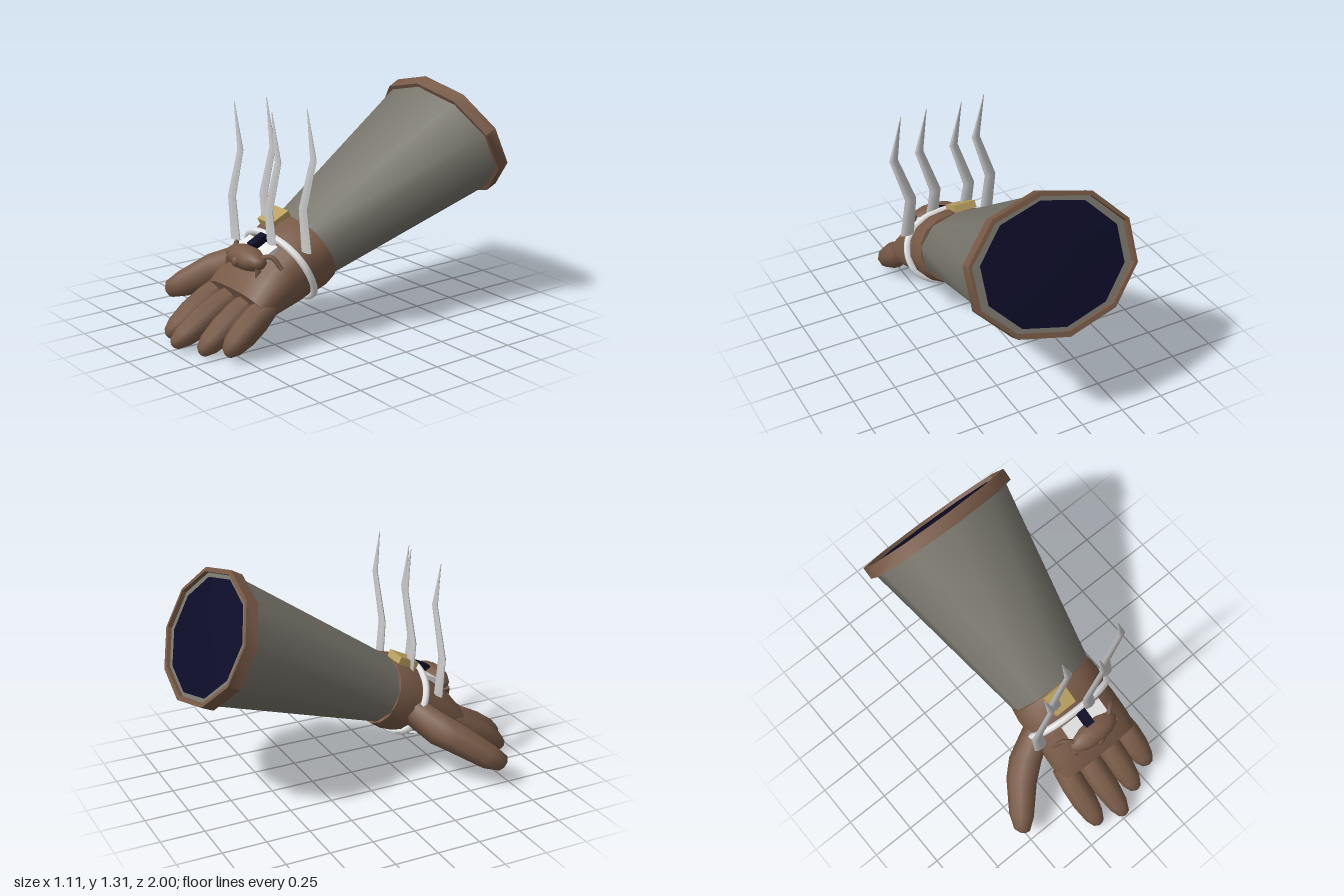
import * as THREE from 'three';
import { toCreasedNormals } from 'three/addons/utils/BufferGeometryUtils.js';

const mat = (name, color, side = THREE.FrontSide) => {
  const m = new THREE.MeshStandardMaterial({ color, side });
  m.name = name;
  return m;
};

// Skin through cross-sections [x, y, z, rx, ry] along z; p < 1 squares the section off.
function loft(rows, { n = 10, p = 1, caps = true, j0 = 0, j1 = n, crease = 0.75 } = {}) {
  const pos = [], idx = [], w = j1 - j0 + 1;
  const pw = v => (Math.abs(v) < 1e-9 ? 0 : Math.sign(v) * Math.abs(v) ** p);
  for (const [x, y, z, rx, ry] of rows)
    for (let j = j0; j <= j1; j++) {
      const a = Math.PI / 2 + (j / n) * Math.PI * 2;
      pos.push(x + rx * pw(Math.cos(a)), y + ry * pw(Math.sin(a)), z);
    }
  for (let i = 0; i < rows.length - 1; i++)
    for (let j = 0; j < w - 1; j++) {
      const a = i * w + j, d = a + w;
      idx.push(a, a + 1, d + 1, a, d + 1, d);
    }
  if (caps) {
    const last = rows.length - 1, k = pos.length / 3;
    pos.push(...rows[0].slice(0, 3), ...rows[last].slice(0, 3));
    for (let j = 0; j < w - 1; j++) {
      idx.push(k, j + 1, j);
      idx.push(k + 1, last * w + j, last * w + j + 1);
    }
  }
  const g = new THREE.BufferGeometry();
  g.setAttribute('position', new THREE.Float32BufferAttribute(pos, 3));
  g.setIndex(idx);
  return toCreasedNormals(g, crease);
}

export function createModel() {
  const leather = mat('brown leather', 0x775946);
  const cloth = mat('grey cloth', 0x77756b);
  const lining = mat('navy', 0x0d0c28, THREE.DoubleSide);
  const gold = mat('gold', 0xbaa05f);
  const white = mat('white', 0xe6e6e6, THREE.DoubleSide);
  const steel = mat('silver', 0xcccccc);

  const model = new THREE.Group();
  const add = (parent, name, geo, m, x = 0, y = 0, z = 0) => {
    const mesh = new THREE.Mesh(geo, m);
    mesh.name = name;
    mesh.position.set(x, y, z);
    parent.add(mesh);
    return mesh;
  };

  // Forearm frame: local +z runs from the wrist to the fingertips
  const arm = new THREE.Group();
  arm.name = 'glove';
  arm.position.set(0.095, 0.465, 0.205);
  arm.rotation.x = 0.456;
  model.add(arm);

  // Flared sleeve with a flat end, navy lining and rim band
  add(arm, 'sleeve', loft([
    [0, 0, -1.13, 0.39, 0.31], [0, 0, -1.13, 0.46, 0.362], [0, 0, 0.03, 0.258, 0.19],
  ], { caps: false, crease: 0.9 }), cloth);
  add(arm, 'sleeveLining', loft([
    [0, 0, -1.145, 0, 0], [0, 0, -1.143, 0.2, 0.165], [0, 0, -1.135, 0.415, 0.33],
  ], { caps: false }), lining);
  add(arm, 'sleeveRim', loft([
    [0, 0, -1.08, 0.468, 0.352], [0, 0, -1.153, 0.468, 0.352], [0, 0, -1.153, 0.486, 0.38],
    [0, 0, -1.08, 0.486, 0.377], [0, 0, -1.08, 0.468, 0.352],
  ], { caps: false }), leather);

  // Wrist cuff and buckle
  add(arm, 'cuff', loft([
    [0, 0, -0.01, 0.268, 0.2], [0, 0, 0.06, 0.278, 0.212], [0, 0, 0.14, 0.272, 0.205],
  ], { n: 16, p: 0.9 }), leather);
  add(arm, 'buckle', new THREE.BoxGeometry(0.135, 0.042, 0.125), gold, -0.064, 0.216, 0.05);

  // Palm, tapering to the knuckles, with a bulging patch beneath
  add(arm, 'palm', loft([
    [0, 0, 0.1, 0.26, 0.19], [0, 0, 0.25, 0.27, 0.17],
    [0, -0.005, 0.4, 0.275, 0.128], [0, -0.015, 0.487, 0.27, 0.093],
  ], { n: 24, p: 0.8 }), leather);
  add(arm, 'palmPatch', loft([
    [0, 0, 0.135, 0.282, 0.214], [0, 0, 0.25, 0.285, 0.192], [0, 0, 0.36, 0.285, 0.164], [0, 0, 0.42, 0.282, 0.14],
  ], { n: 24, p: 0.8, j0: 9, j1: 13, caps: false }), white);

  // Fingers: base x, tip x, tip y, tip z
  for (const [x, tx, ty, tz] of [
    [-0.22, -0.23, -0.06, 0.84], [-0.075, -0.08, -0.035, 0.885],
    [0.075, 0.075, -0.075, 0.825], [0.212, 0.222, -0.08, 0.755],
  ]) {
    const at = (t, rx, ry) => [x + (tx - x) * t, -0.02 + (ty + 0.02) * t, 0.42 + (tz - 0.42) * t, rx, ry];
    add(arm, 'finger', loft([
      at(0, 0.066, 0.062), at(0.3, 0.077, 0.08), at(0.6, 0.076, 0.08),
      at(0.86, 0.06, 0.062), at(0.99, 0.036, 0.036), at(1.02, 0.015, 0.015),
    ], { n: 8, crease: 1.2 }), leather);
  }

  // Thumb
  const thumb = add(model, 'thumb', loft([
    [0, 0, -0.04, 0.08, 0.09], [-0.043, 0.005, 0.15, 0.093, 0.099], [-0.047, 0.015, 0.27, 0.088, 0.092],
    [-0.02, 0, 0.47, 0.072, 0.076], [-0.005, 0, 0.555, 0.046, 0.05], [0, 0, 0.57, 0.02, 0.02],
  ], { n: 8, crease: 1.2 }), leather, -0.14, 0.36, 0.36);
  thumb.lookAt(-0.52, 0.14, 0.7);

  // Strap around the hand
  const loop = [];
  for (let i = 0; i < 24; i++) {
    const a = (i / 24) * Math.PI * 2, f = v => Math.sign(v) * Math.abs(v) ** 0.9;
    loop.push(new THREE.Vector3(0.278 * f(Math.cos(a)), 0.204 * f(Math.sin(a)), 0.163));
  }
  add(arm, 'strap', new THREE.TubeGeometry(new THREE.CatmullRomCurve3(loop, true), 48, 0.021, 6, true), white);

  // Four flat, kinked claws: base x and y, depth, tip height
  for (const [x, y, z, top] of [
    [-0.19, 0.48, 0.455, 1.26], [-0.005, 0.58, 0.37, 1.3], [0.17, 0.52, 0.455, 1.26], [0.365, 0.53, 0.37, 1.3],
  ]) {
    const claw = add(model, 'claw', loft([
      [0, 0, y, 0.042, 0.016], [-0.03, 0, top - 0.54, 0.035, 0.014],
      [0.063, 0, top - 0.26, 0.026, 0.011], [0.01, 0, top, 0.002, 0.002],
    ], { n: 8, crease: 1.2 }), steel, x, 0, z);
    claw.rotation.x = -Math.PI / 2;
  }

  // Ornament on the back of the hand
  const ornament = new THREE.Group();
  ornament.name = 'ornament';
  ornament.position.set(0.095, 0.47, 0.572);
  model.add(ornament);
  const body = add(ornament, 'ornamentBody', new THREE.SphereGeometry(1, 12, 8), leather);
  body.scale.set(0.165, 0.067, 0.077);
  const nose = add(ornament, 'ornamentNose', new THREE.SphereGeometry(0.03, 6, 4), leather, 0, -0.01, 0.07);
  nose.scale.z = 0.6;
  for (const x of [-0.145, 0, 0.145]) {
    const toe = add(ornament, 'ornamentToe', new THREE.ConeGeometry(0.02, 0.05, 6), leather, x, -0.052, 0.03);
    toe.rotation.x = Math.PI - 0.4;
  }
  for (const s of [-1, 1]) {
    const leg = new THREE.CatmullRomCurve3([
      new THREE.Vector3(s * 0.11, 0.02, 0), new THREE.Vector3(s * 0.17, 0.035, -0.05), new THREE.Vector3(s * 0.22, -0.03, -0.08),
    ]);
    add(ornament, 'ornamentLeg', new THREE.TubeGeometry(leg, 8, 0.014, 5), leather);
  }
  const pad = add(ornament, 'ornamentPad', new THREE.BoxGeometry(0.27, 0.07, 0.09), white, 0, 0.022, -0.087);
  pad.rotation.x = 0.456;
  const gem = add(ornament, 'ornamentGem', new THREE.BoxGeometry(0.055, 0.045, 0.1), lining, 0, 0.073, -0.077);
  gem.rotation.x = 0.456;

  return model;
}
